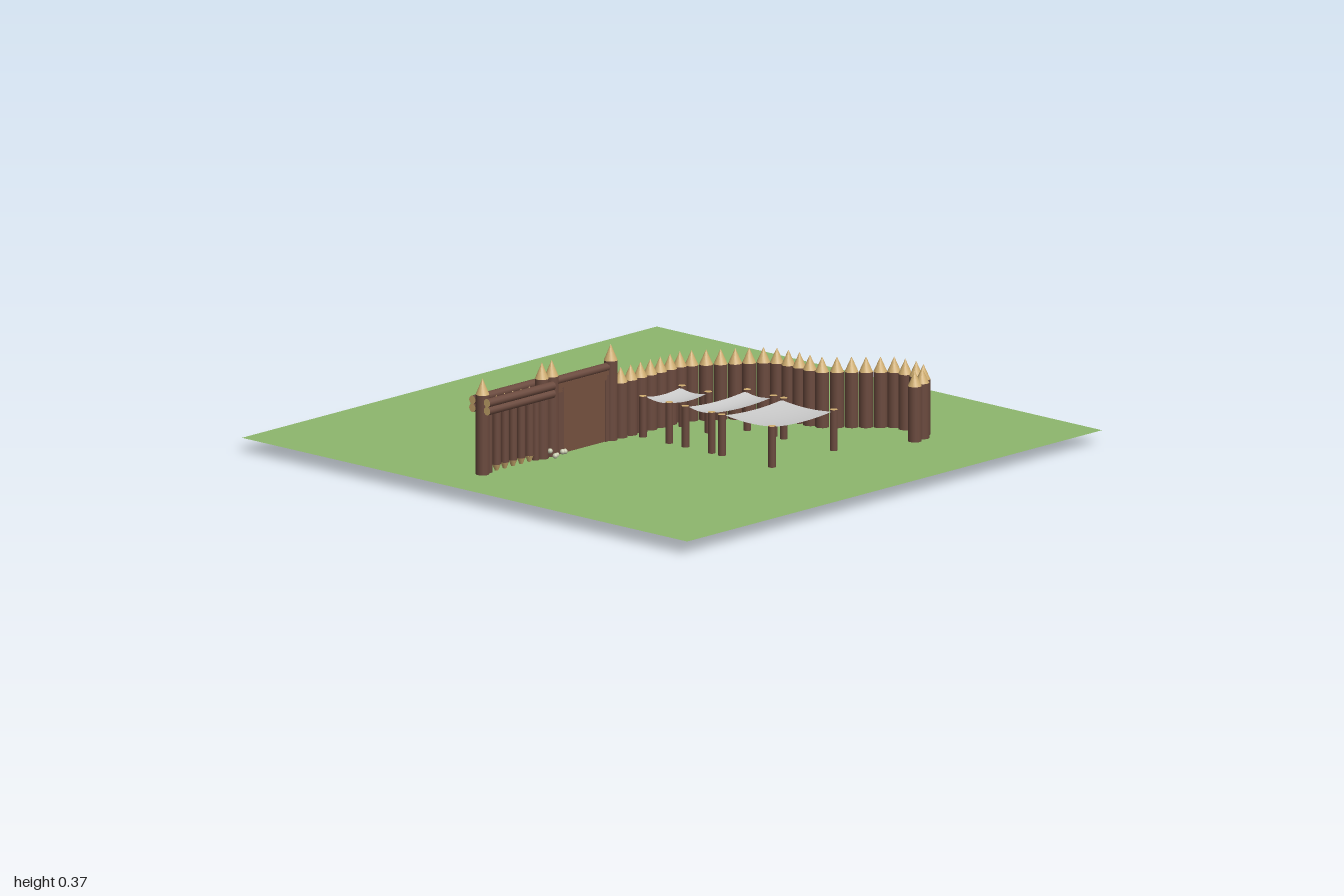
import * as THREE from 'three';

const paint = (color) => new THREE.MeshStandardMaterial({ color });
const GROUND = 0.045, WALL_X = -0.098;

export function createModel() {
  const model = new THREE.Group();
  const bark = paint(0x6b4a3e), wood = paint(0xd0ae70), doorWood = paint(0x74503f);
  const grass = paint(0x8db76d), bone = paint(0xc9ccb0), dark = paint(0x33302a);
  grass.side = THREE.DoubleSide;
  const cloth = paint(0xcccccc);
  cloth.side = THREE.DoubleSide;

  const add = (parent, name, geometry, material, x = 0, y = 0, z = 0) => {
    const mesh = new THREE.Mesh(geometry, material);
    mesh.name = name;
    mesh.position.set(x, y, z);
    parent.add(mesh);
    return mesh;
  };
  const group = (name) => {
    const g = new THREE.Group();
    g.name = name;
    model.add(g);
    return g;
  };

  // Upright log with a sharpened, pale tip
  const stake = (parent, name, x, z, bottom, shoulder, tip, r) => {
    add(parent, name, new THREE.CylinderGeometry(r, r, shoulder - bottom, 14), bark, x, (bottom + shoulder) / 2, z);
    add(parent, name + 'Tip', new THREE.ConeGeometry(r, tip - shoulder, 14), wood, x, (shoulder + tip) / 2, z);
  };
  // Lying log along z with pale cut ends
  const beam = (parent, name, x, y, z0, z1, r) => {
    const log = add(parent, name, new THREE.CylinderGeometry(r, r, z1 - z0, 12), [bark, wood, wood], x, y, (z0 + z1) / 2);
    log.rotation.x = Math.PI / 2;
  };

  // Ground
  add(model, 'ground', new THREE.PlaneGeometry(2, 2).rotateX(-Math.PI / 2), grass, 0, GROUND, 0);

  // Palisade: a straight run, then a winding one
  const palisade = group('palisade');
  const spots = [];
  for (let i = 0; i < 7; i++) spots.push([WALL_X, 0.142 - i * 0.0475]);
  spots.push(
    [-0.08, -0.18], [-0.05, -0.218], [-0.02, -0.256], [0.01, -0.294], [0.038, -0.331], [0.068, -0.368],
    [0.105, -0.393], [0.152, -0.398], [0.2, -0.4], [0.247, -0.4], [0.294, -0.408], [0.33, -0.441],
    [0.365, -0.474], [0.4, -0.506], [0.434, -0.539], [0.467, -0.57], [0.513, -0.574], [0.56, -0.576],
    [0.605, -0.563], [0.635, -0.525], [0.645, -0.478]);
  spots.forEach(([x, z]) => stake(palisade, 'palisadeLog', x, z, GROUND, 0.232, 0.283, 0.023));

  // Tall gate posts
  const gate = group('gate');
  for (const z of [0.19, 0.475, 0.522, 0.808]) stake(gate, 'gatePost', WALL_X, z, GROUND, 0.315, 0.37, 0.023);

  // Closed door, with its lintel and frame
  add(gate, 'doorPanel', new THREE.BoxGeometry(0.014, 0.225, 0.27), doorWood, WALL_X, 0.158, 0.333);
  for (const z of [0.213, 0.44])
    add(gate, 'doorJamb', new THREE.BoxGeometry(0.022, 0.225, 0.026), bark, WALL_X, 0.158, z);
  add(gate, 'doorHeader', new THREE.BoxGeometry(0.022, 0.03, 0.27), doorWood, WALL_X, 0.27, 0.333);
  beam(gate, 'doorLintel', WALL_X, 0.295, 0.2, 0.465, 0.014);

  // Paired beams on both sides of the raised gate
  const portcullis = group('portcullis');
  for (const side of [-1, 1])
    for (const y of [0.266, 0.293]) beam(portcullis, 'guideBeam', WALL_X + side * 0.033, y, 0.505, 0.822, 0.0145);

  // Hanging stakes with points at both ends
  for (let i = 0; i < 5; i++) {
    const z = 0.583 + i * 0.0395;
    stake(portcullis, 'hangingStake', WALL_X, z, 0.066, 0.275, 0.3, 0.0145);
    add(portcullis, 'lowerTip', new THREE.ConeGeometry(0.0145, 0.036, 12).rotateX(Math.PI), wood, WALL_X, 0.048, z);
  }
  for (const z of [0.553, 0.778])
    add(portcullis, 'sideLog', new THREE.CylinderGeometry(0.012, 0.012, 0.22, 12), bark, WALL_X, 0.155, z);

  // Cloth awnings sagging between four posts
  const awning = (x0, x1, z0, z1) => {
    const g = group('awning');
    for (const x of [x0, x1])
      for (const z of [z0, z1])
        add(g, 'awningPost', new THREE.CylinderGeometry(0.013, 0.013, 0.15, 12), [bark, wood, bark], x, 0.109, z);
    const w = x1 - x0, d = z1 - z0 - 0.024;
    const sheet = new THREE.PlaneGeometry(w, d, 10, 10).rotateX(-Math.PI / 2);
    const p = sheet.attributes.position;
    for (let i = 0; i < p.count; i++) {
      const u = p.getX(i) / w * 2, v = p.getZ(i) / d * 2;
      p.setY(i, 0.162 + 0.008 * (u * u + v * v));
    }
    sheet.computeVertexNormals();
    add(g, 'awningCloth', sheet, cloth, (x0 + x1) / 2, 0, (z0 + z1) / 2 - 0.003);
  };
  awning(-0.045, 0.073, -0.097, 0.092);
  awning(0.146, 0.264, -0.206, 0.092);
  awning(0.31, 0.535, -0.206, 0.092);

  // Bone charms hung on a bent pole beside the gate
  const charms = group('boneCharms');
  const path = [[-0.134, 0, 0.483], [-0.138, 0.06, 0.486], [-0.15, 0.11, 0.492], [-0.136, 0.185, 0.518]];
  const curve = new THREE.CatmullRomCurve3(path.map((p) => new THREE.Vector3(...p)));
  add(charms, 'pole', new THREE.TubeGeometry(curve, 16, 0.004, 6), dark);
  const knobs = [
    [-0.166, 0.1, 0.477], [-0.16, 0.12, 0.487], [-0.155, 0.145, 0.492], [-0.15, 0.06, 0.474], [-0.145, 0.05, 0.486],
    [-0.075, 0.055, 0.435], [-0.065, 0.06, 0.458], [-0.078, 0.05, 0.472], [-0.066, 0.052, 0.492], [-0.075, 0.07, 0.507]];
  knobs.forEach(([x, y, z]) => add(charms, 'boneKnob', new THREE.SphereGeometry(0.009, 10, 8), bone, x, y, z));

  return model;
}
